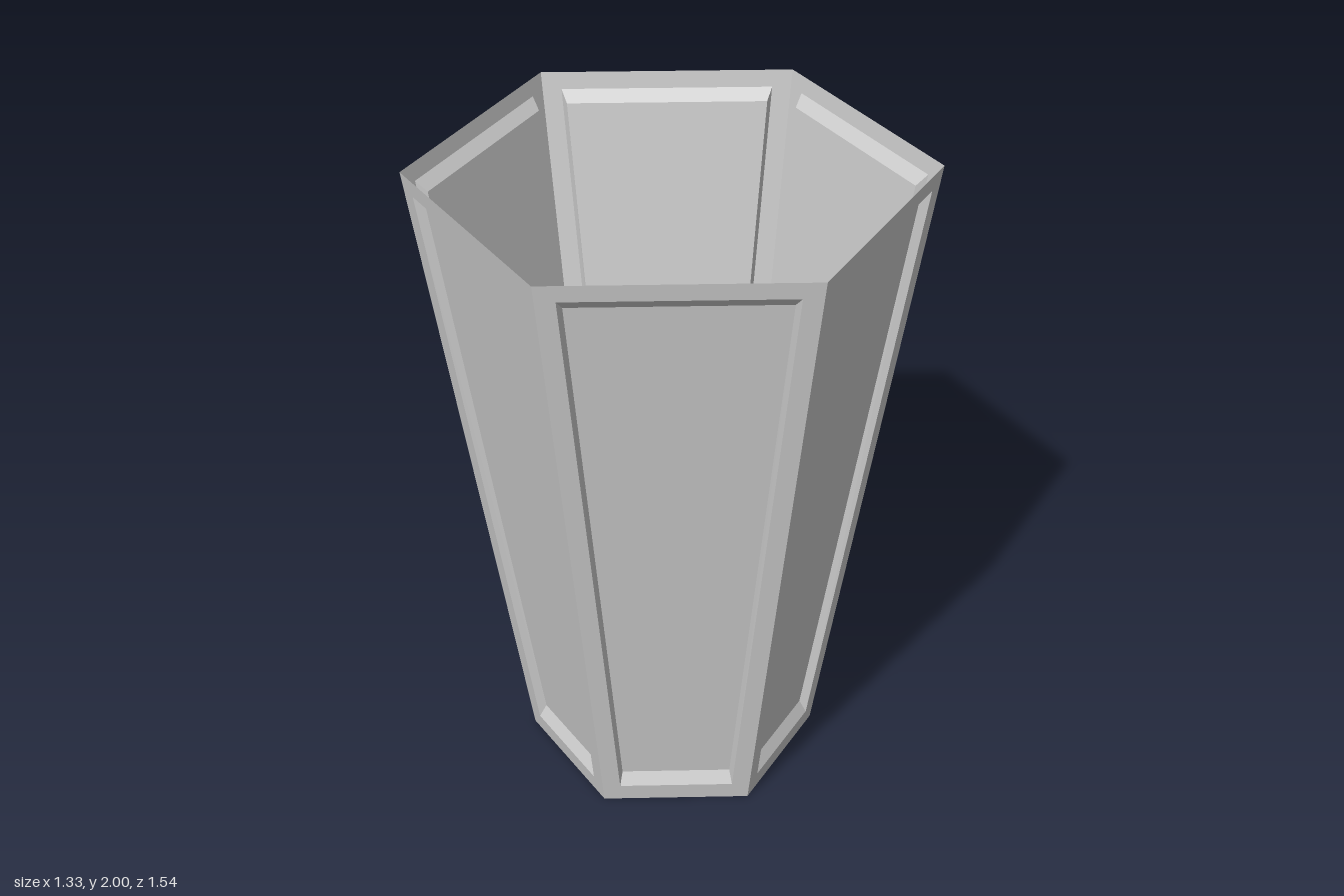
import * as THREE from 'three';

const HEIGHT = 2;
const BOTTOM = 0.39, TOP = 0.667; // distance from the axis to a side, at the base and the rim
const SIDES = 6;

// Four corners of a symmetric trapezoid lying on a side, sunk inward by depth
function trapezoid(y0, half0, y1, half1, depth = 0) {
  const out = (y) => BOTTOM + (TOP - BOTTOM) * y / HEIGHT - depth;
  return [[-half0, y0, out(y0)], [half0, y0, out(y0)], [half1, y1, out(y1)], [-half1, y1, out(y1)]];
}

// Flat-faced geometry from a list of quads
function quads(list) {
  const pos = list.flatMap(([a, b, c, d]) => [a, b, c, a, c, d].flat());
  const geo = new THREE.BufferGeometry();
  geo.setAttribute('position', new THREE.Float32BufferAttribute(pos, 3));
  geo.computeVertexNormals();
  return geo;
}

// Band of quads joining an outer loop to an inner one
function band(outer, inner) {
  return quads(outer.map((p, i) => {
    const j = (i + 1) % outer.length;
    return [p, outer[j], inner[j], inner[i]];
  }));
}

export function createModel() {
  const group = new THREE.Group();
  group.name = 'hexagonalPlanter';
  const material = new THREE.MeshStandardMaterial({
    color: 0xcccccc, flatShading: true, side: THREE.DoubleSide,
  });

  const tan = Math.tan(Math.PI / SIDES);
  const edge = trapezoid(0, BOTTOM * tan, HEIGHT, TOP * tan);
  const opening = trapezoid(0.058, 0.175, 1.947, 0.323);
  const recess = trapezoid(0.1, 0.167, 1.913, 0.307, 0.026);

  const parts = {
    frame: band(edge, opening),
    bevel: band(opening, recess),
    panel: quads([recess]),
  };

  // Six identical sides around the open middle
  for (let i = 0; i < SIDES; i++) {
    const side = new THREE.Group();
    side.name = `side${i + 1}`;
    for (const [name, geometry] of Object.entries(parts)) {
      const mesh = new THREE.Mesh(geometry, material);
      mesh.name = name;
      side.add(mesh);
    }
    side.rotation.y = Math.PI / 2 + i * 2 * Math.PI / SIDES;
    group.add(side);
  }
  return group;
}
